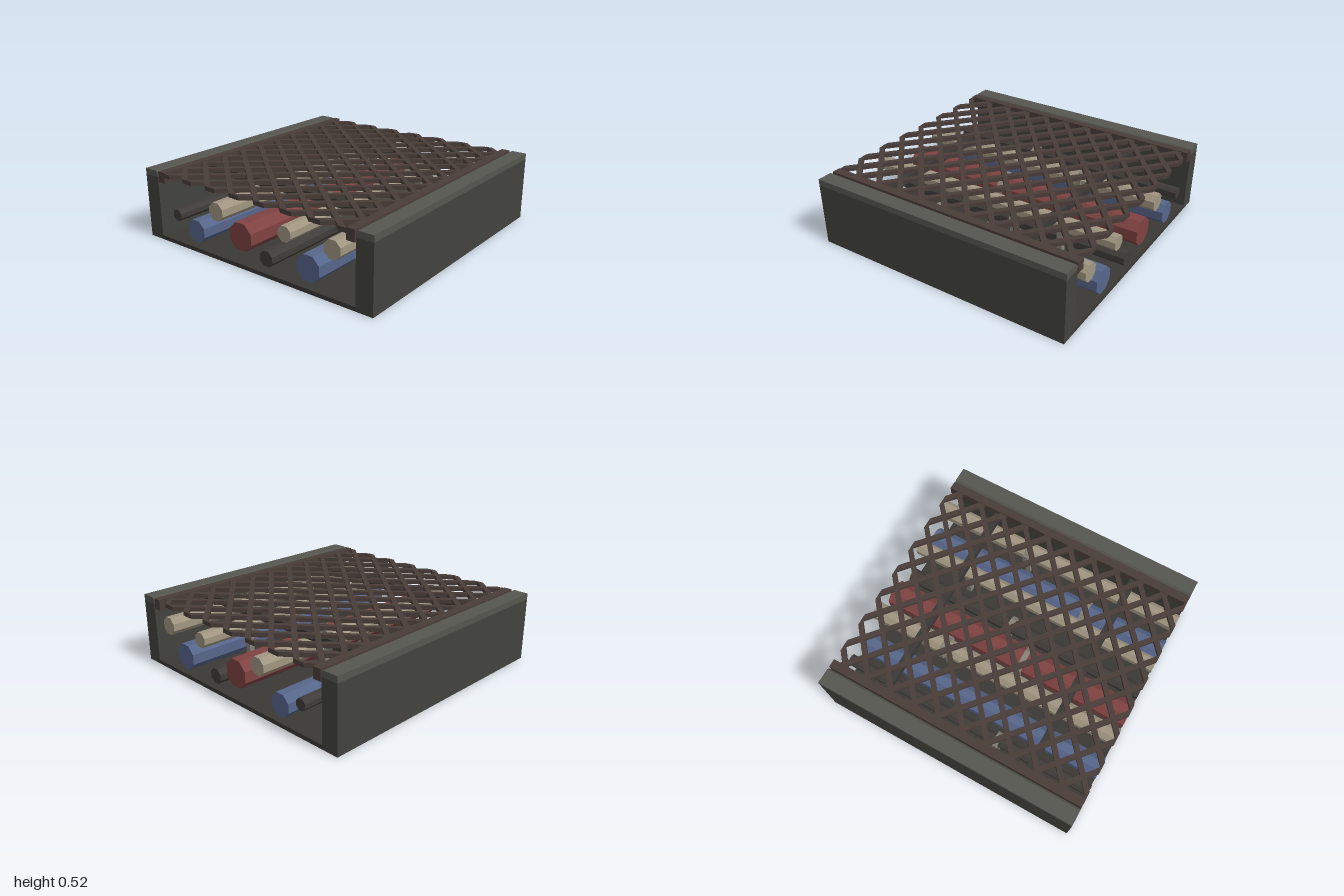
import * as THREE from 'three';

const mat = (color) => new THREE.MeshStandardMaterial({ color, flatShading: true });
const M = {
  wall: mat(0x42423d), cap: mat(0x565650), floor: mat(0x3a3835), grate: mat(0x4a3d39),
  beam: mat(0x3a3836), blue: mat(0x56658a), tan: mat(0xa09580), red: mat(0x7f4242),
  dark: mat(0x403c39), bracket: mat(0x87837a),
};

// Keep the part of a polygon where f(point) >= 0
function clip(points, f) {
  const out = [];
  points.forEach((a, i) => {
    const b = points[(i + 1) % points.length];
    const fa = f(a), fb = f(b);
    if (fa >= 0) out.push(a);
    if (fa * fb < 0) out.push(a.clone().lerp(b, fa / (fa - fb)));
  });
  return out;
}

export function createModel() {
  const model = new THREE.Group();

  const add = (name, geometry, material, x, y, z, parent = model) => {
    const mesh = new THREE.Mesh(geometry, material);
    mesh.name = name;
    mesh.position.set(x, y, z);
    parent.add(mesh);
    return mesh;
  };
  const box = (name, w, h, d, material, x, y, z, parent) =>
    add(name, new THREE.BoxGeometry(w, h, d), material, x, y, z, parent);

  // Eight-sided bar along x with flat top; a is half the width across flats
  const octagon = (name, a, length, material, x, y, z, parent) => {
    const g = new THREE.CylinderGeometry(a / Math.cos(Math.PI / 8), a / Math.cos(Math.PI / 8), length, 8);
    g.rotateY(Math.PI / 8).rotateZ(Math.PI / 2);
    return add(name, g, material, x, y, z, parent);
  };

  // Trench floor
  box('floor', 2, 0.03, 1.75, M.floor, 0, 0.015, 0);

  // Side walls, chamfered caps and grate rails, mirrored front to back
  const capShape = new THREE.Shape([
    [-0.0635, 0], [0.0635, 0], [0.0635, 0.045], [-0.05, 0.045], [-0.0635, 0.03],
  ].map(([x, y]) => new THREE.Vector2(x, y)));
  for (const s of [1, -1]) {
    const side = s > 0 ? 'front' : 'back';
    box(side + 'Wall', 2, 0.475, 0.127, M.wall, 0, 0.2375, s * 0.9365);
    const g = new THREE.ExtrudeGeometry(capShape, { depth: 2, bevelEnabled: false });
    g.translate(0, 0, -1).rotateY(-s * Math.PI / 2);
    add(side + 'WallCap', g, M.cap, 0, 0.475, s * 0.9365);
    box(side + 'GrateRail', 2, 0.08, 0.063, M.grate, 0, 0.48, s * 0.833);
  }

  // Beams carrying the grate
  for (const x of [-0.575, 0.575]) box('grateBeam', 0.05, 0.055, 1.64, M.beam, x, 0.4575, 0);

  // Lattice: two mirrored families of diagonal bars trimmed to the opening
  const lattice = new THREE.Group();
  lattice.name = 'grateLattice';
  model.add(lattice);
  const pitch = 0.193, lean = 0.193 / 0.226, halfZ = 0.81;
  const halfW = 0.019 * Math.hypot(1, lean);
  for (const dir of [1, -1]) {
    for (let i = -10; i <= 10; i++) {
      const run = dir * lean * halfZ, c = (i + 0.25) * pitch;
      let pts = [
        [c - run - halfW, -halfZ], [c - run + halfW, -halfZ],
        [c + run + halfW, halfZ], [c + run - halfW, halfZ],
      ].map(([x, z]) => new THREE.Vector2(x, z));
      pts = clip(clip(pts, (p) => 1 - p.x), (p) => p.x + 1);
      if (pts.length < 3) continue;
      const g = new THREE.ExtrudeGeometry(new THREE.Shape(pts), { depth: 0.03, bevelEnabled: false });
      g.rotateX(-Math.PI / 2);
      add('latticeBar', g, M.grate, 0, dir > 0 ? 0.485 : 0.483, 0, lattice);
    }
  }

  // Pipes: colour, z, y, half width, collar half width (0 = none), post width, post x
  const pipes = [
    ['tan', 0.70, 0.35, 0.063, 0.081, 0.045, 0.24],
    ['blue', 0.51, 0.17, 0.09, 0.107, 0.145, -0.35],
    ['tan', 0.32, 0.35, 0.053, 0, 0.045, 0.57],
    ['dark', 0.16, 0.135, 0.053, 0.072, 0.105, 0.1],
    ['red', -0.067, 0.228, 0.097, 0.107, 0.045, -0.14],
    ['tan', -0.29, 0.35, 0.063, 0.081, 0.045, 0.4],
    ['blue', -0.50, 0.158, 0.079, 0, 0.13, 0.57],
    ['dark', -0.69, 0.23, 0.04, 0.057, 0.045, -0.26],
  ];
  for (const [color, z, y, a, collar, post, px] of pipes) {
    const run = new THREE.Group();
    run.name = color + 'PipeRun';
    model.add(run);
    octagon('pipe', a, 2, M[color], 0, y, z, run);
    if (collar) octagon('pipeCollar', collar, 0.04, M.bracket, px, y, z, run);
    const top = y - a * 0.6;
    box('pipePost', 0.04, top - 0.03, post, M.bracket, px, (top + 0.03) / 2, z, run);
  }

  return model;
}
